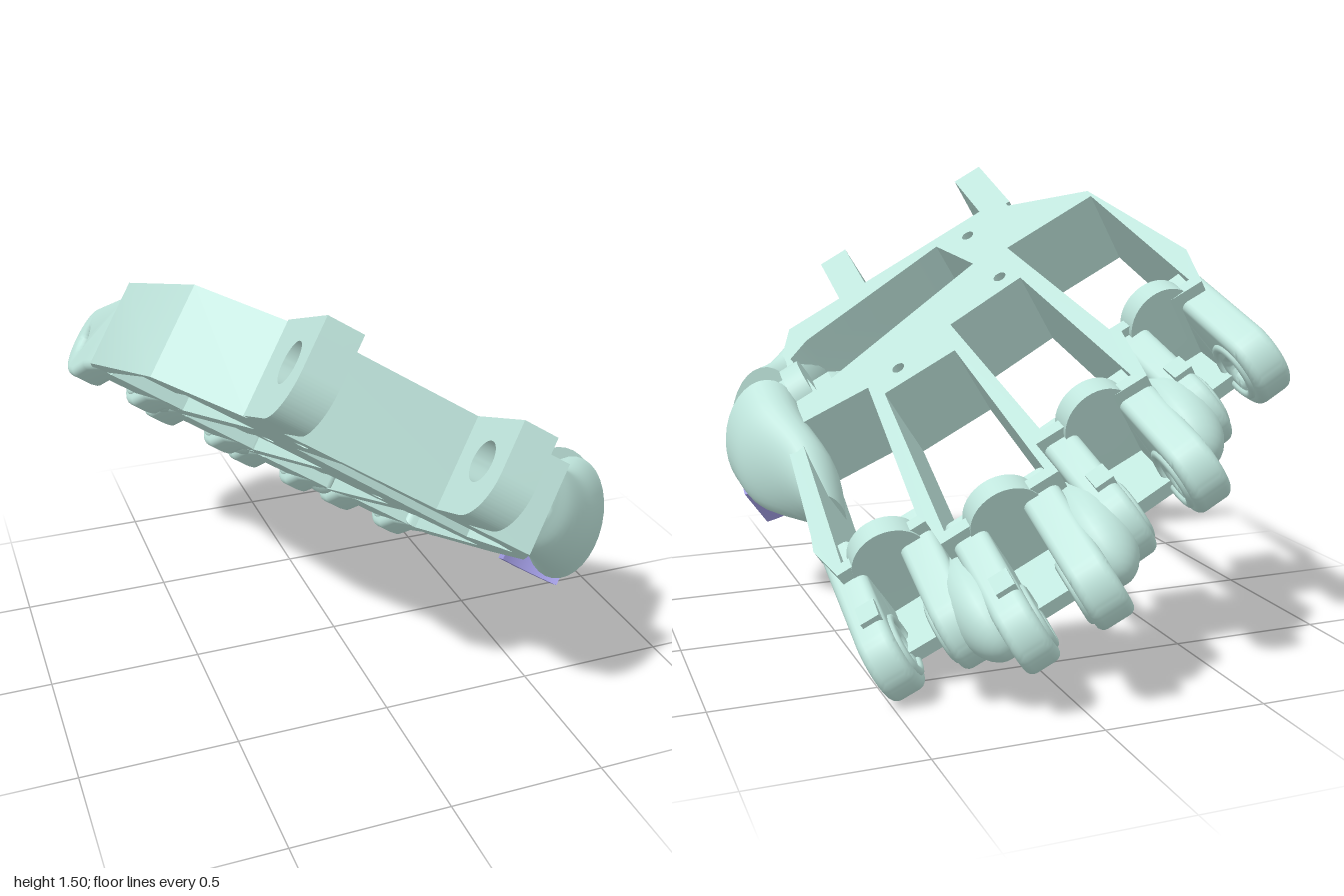
import * as THREE from 'three';
import { toCreasedNormals } from 'three/addons/utils/BufferGeometryUtils.js';

const mint = new THREE.MeshStandardMaterial({ color: 0xbfe5dc });
mint.name = 'mint plastic';
const violet = new THREE.MeshStandardMaterial({ color: 0x9f9ae0 });
violet.name = 'violet plastic';

// Palm frame: x across the palm, y towards the fingers, z out of the upper face
const LOW = -0.09, HIGH = 0.2;

function addMesh(parent, name, geometry, x = 0, y = 0, z = 0, material = mint) {
  const mesh = new THREE.Mesh(geometry, material);
  mesh.name = name;
  mesh.position.set(x, y, z);
  parent.add(mesh);
  return mesh;
}

const polygon = (pts) => new THREE.Shape(pts.map((p) => new THREE.Vector2(...p)));

function circlePath(x, y, r) {
  const p = new THREE.Path();
  p.absarc(x, y, r, 0, Math.PI * 2, true);
  return p;
}

// Extrudes a side profile (length, height) across the palm, centred on its width
const acrossPalm = new THREE.Matrix4().makeBasis(
  new THREE.Vector3(0, 1, 0), new THREE.Vector3(0, 0, 1), new THREE.Vector3(1, 0, 0));
function sideExtrude(shape, width, bevel = 0) {
  const g = new THREE.ExtrudeGeometry(shape, {
    depth: width - 2 * bevel, curveSegments: 20, bevelEnabled: bevel > 0,
    bevelSize: bevel, bevelThickness: bevel, bevelOffset: -bevel, bevelSegments: 4,
  });
  g.translate(0, 0, -width / 2 + bevel);
  g.applyMatrix4(acrossPalm);
  return toCreasedNormals(g, 0.6);
}

// Smooth body through leaning elliptical sections [y, x, z, radiusX, radiusZ, lean]
function loft(sections) {
  const N = 32, steps = 16, pos = [], idx = [];
  const curves = [0, 3].map((k) => new THREE.CatmullRomCurve3(
    sections.map((s) => new THREE.Vector3(s[k], s[k + 1], s[k + 2]))));
  for (let i = 0; i <= steps; i++) {
    const c = curves[0].getPoint(i / steps), r = curves[1].getPoint(i / steps);
    for (let j = 0; j < N; j++) {
      const t = (j / N) * Math.PI * 2, dz = Math.sin(t) * r.y, shift = r.z * dz;
      pos.push(c.y + Math.cos(t) * r.x - 0.8 * shift, c.x - shift, c.z + dz);
      if (i < steps) {
        const a = i * N + j, b = i * N + ((j + 1) % N);
        idx.push(a, a + N, b, b, a + N, b + N);
      }
    }
  }
  for (let j = 1; j < N - 1; j++) {
    idx.push(0, j, j + 1);
    const e = steps * N;
    idx.push(e, e + j + 1, e + j);
  }
  const g = new THREE.BufferGeometry();
  g.setAttribute('position', new THREE.Float32BufferAttribute(pos, 3));
  g.setIndex(idx);
  return toCreasedNormals(g, 0.7);
}

// Rounded knuckle lug with a pivot hole at its origin
function knuckleGeometry(length, r, width) {
  const s = new THREE.Shape();
  s.moveTo(-length, LOW);
  s.lineTo(-0.15, LOW - 0.01);
  s.lineTo(-0.05, -r);
  s.absarc(0, 0, r, -Math.PI / 2, Math.PI * 0.42, false);
  s.lineTo(-length, HIGH - 0.02);
  s.closePath();
  s.holes.push(circlePath(0, 0, 0.035));
  return sideExtrude(s, width, 0.025);
}

// Tendon block with a sloping face and a round pulley plate at its end
function addTendonGuide(parent, name, x, y, angle) {
  const g = new THREE.Group();
  g.name = name;
  g.position.set(x, y, 0);
  g.rotation.z = angle;
  parent.add(g);
  addMesh(g, 'tendonBlock', sideExtrude(polygon(
    [[-0.18, -0.05], [0, -0.05], [0, 0.11], [-0.09, 0.11], [-0.16, 0.06], [-0.18, 0.01]]), 0.19));
  addMesh(g, 'pulleyPlate', new THREE.CylinderGeometry(0.116, 0.116, 0.07, 40), 0, 0.01, 0.14);
}

function addPalm(hand) {
  const outline = polygon([
    [-0.52, -0.75], [0.4, -0.75], [0.52, -0.5], [0.56, -0.2], [0.6, 0.35], [0.61, 0.42], [0.57, 0.57],
    [0.27, 0.57], [0.26, 0.69], [-0.13, 0.69], [-0.12, 0.54], [-0.5, 0.54], [-0.53, 0.3],
    [-0.82, 0.3], [-0.86, 0.12], [-0.77, -0.48], [-0.52, -0.68]]);
  const windows = [
    [[-0.765, -0.44], [-0.42, -0.44], [-0.505, 0.26], [-0.795, 0.26]],
    [[-0.39, -0.24], [-0.105, -0.22], [-0.155, 0.5], [-0.465, 0.5]],
    [[-0.07, -0.08], [0.2, -0.08], [0.235, 0.65], [-0.1, 0.65]],
    [[0.24, -0.16], [0.51, -0.19], [0.545, 0.53], [0.285, 0.53]],
    [[-0.29, -0.47], [0.4, -0.31], [0.44, -0.57], [0.36, -0.62], [-0.22, -0.7]]];
  for (const w of windows) outline.holes.push(polygon(w));
  for (const [x, y] of [[-0.336, -0.31], [0.12, -0.165], [-0.336, -0.65]])
    outline.holes.push(circlePath(x, y, 0.022));
  const g = new THREE.ExtrudeGeometry(outline, {
    depth: HIGH - LOW, bevelEnabled: false, curveSegments: 12 });
  addMesh(hand, 'palmFrame', toCreasedNormals(g, 0.5), 0, 0, LOW);
}

function addWristLugs(hand) {
  const s = new THREE.Shape();
  s.moveTo(-0.7, LOW);
  s.lineTo(-0.7, HIGH);
  s.lineTo(-1.04, HIGH);
  s.lineTo(-1.04, 0.05);
  s.absarc(-0.9, 0.05, 0.14, Math.PI, Math.PI * 1.5, false);
  s.closePath();
  s.holes.push(circlePath(-0.9, 0.07, 0.062));
  for (const x of [-0.48, 0.128])
    addMesh(hand, 'wristLug', sideExtrude(s, 0.11), x, 0, 0);
}

function addFingers(hand) {
  // name, outer and inner knuckle positions, splay, guide position
  const fingers = [
    ['littleFinger', [-0.81, 0.5], [-0.575, 0.56], 0.1, [-0.655, 0.26]],
    ['ringFinger', [-0.46, 0.75], [-0.2, 0.78], 0.07, [-0.312, 0.5]],
    ['middleFinger', [-0.05, 0.93], [0.185, 0.93], 0, [0.065, 0.65]],
    ['indexFinger', [0.33, 0.79], [0.56, 0.75], -0.03, [0.42, 0.53]]];
  for (const [name, a, b, splay, guide] of fingers) {
    const finger = new THREE.Group();
    finger.name = name;
    hand.add(finger);
    for (const [p, side, width] of [[a, 1, 0.12], [b, -1, 0.11]]) {
      const lug = new THREE.Group();
      lug.name = 'knuckle';
      lug.position.set(p[0], p[1], 0);
      lug.rotation.z = splay;
      finger.add(lug);
      addMesh(lug, 'knuckleLug', knuckleGeometry(0.32, 0.13, width));
      // Raised pivot boss facing the finger
      const boss = new THREE.TorusGeometry(0.085, 0.016, 8, 32).rotateY(Math.PI / 2);
      addMesh(lug, 'pivotBoss', boss, side * (width / 2 - 0.004), 0, 0);
    }
    const clip = addMesh(finger, 'stopClip', new THREE.BoxGeometry(0.06, 0.07, 0.04),
      b[0] - 0.02, b[1] - 0.04, 0.13);
    clip.rotation.z = splay;
    // Floor under the guide and finger joint
    const floor = addMesh(finger, 'jointFloor', new THREE.BoxGeometry(0.27, 0.3, 0.05),
      guide[0], guide[1] + 0.07, LOW + 0.024);
    floor.rotation.z = splay;
    addTendonGuide(finger, 'tendonGuide', guide[0], guide[1], splay);
  }
  // Soft webs between neighbouring fingers
  for (const [x, y] of [[-0.52, 0.58], [-0.125, 0.79], [0.255, 0.8]]) {
    const web = addMesh(hand, 'fingerWeb', new THREE.SphereGeometry(1, 28, 18), x, y, 0.02);
    web.scale.set(0.105, 0.2, 0.13);
  }
}

function addThumbMount(hand) {
  const thumb = new THREE.Group();
  thumb.name = 'thumbMount';
  hand.add(thumb);
  addMesh(thumb, 'thumbHeelLobe', loft([
    [-0.745, 0.28, 0.055, 0.12, 0.135, 0], [-0.7, 0.38, 0.055, 0.12, 0.135, 0.05],
    [-0.58, 0.52, 0.06, 0.12, 0.145, 0.25], [-0.43, 0.63, 0.09, 0.14, 0.185, 0.45]]));
  addMesh(thumb, 'thumbPalmLobe', loft([
    [-0.32, 0.64, 0.14, 0.15, 0.165, 0.45], [-0.2, 0.63, 0.12, 0.14, 0.155, 0.42],
    [-0.05, 0.57, 0.07, 0.1, 0.14, 0.25], [0.1, 0.55, 0.04, 0.04, 0.08, 0]]));
  for (const [y, x] of [[-0.43, 0.64], [-0.335, 0.65]]) {
    const boss = addMesh(thumb, 'thumbPivotBoss', new THREE.TorusGeometry(0.085, 0.016, 8, 32), x, y, 0.11);
    boss.rotation.x = Math.PI / 2 + 0.42;
  }
  addTendonGuide(thumb, 'thumbTendonGuide', 0.44, -0.415, -Math.PI / 2);
  // Thin bowed tab standing between the thumb lobes
  const bow = new THREE.Shape();
  bow.moveTo(-0.11, 0);
  bow.quadraticCurveTo(0, 0.05, 0.11, 0);
  bow.lineTo(0.11, -0.035);
  bow.quadraticCurveTo(0, 0.015, -0.11, -0.035);
  bow.closePath();
  const tab = new THREE.ExtrudeGeometry(bow, { depth: 0.15, bevelEnabled: false, curveSegments: 12 });
  addMesh(thumb, 'thumbTab', toCreasedNormals(tab, 0.5), 0.69, -0.22, -0.1, violet);
}

export function createModel() {
  const model = new THREE.Group();
  model.name = 'handPalm';
  const hand = new THREE.Group();
  hand.name = 'tiltedPalm';
  model.add(hand);
  addPalm(hand);
  addWristLugs(hand);
  addFingers(hand);
  addThumbMount(hand);

  // Tilt the palm to its resting pose
  const v = new THREE.Vector3(0, -0.36, -0.933).normalize();
  const n = new THREE.Vector3(0.83, -0.515, 0.2).cross(v).normalize();
  const u = v.clone().cross(n);
  hand.quaternion.setFromRotationMatrix(new THREE.Matrix4().makeBasis(u, v, n));

  // Centre the palm and stand it on the ground
  const box = new THREE.Box3().setFromObject(hand, true);
  const c = box.getCenter(new THREE.Vector3());
  hand.position.set(-c.x, -box.min.y, -c.z);
  return model;
}
